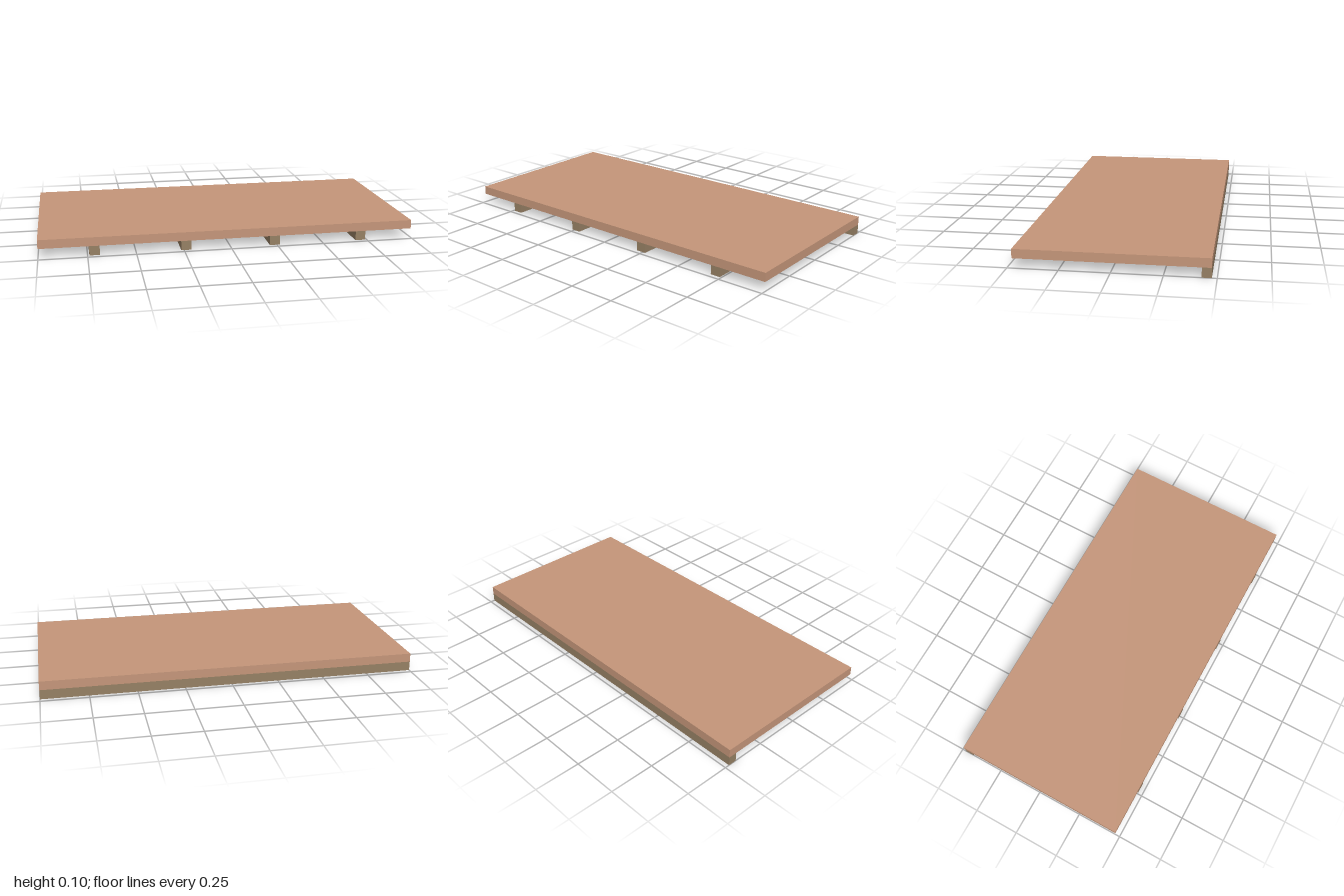
import * as THREE from 'three';

export function createModel() {
  const model = new THREE.Group();
  const deckColor = new THREE.MeshStandardMaterial({ name: 'terracotta deck', color: 0xc5967a });
  const beamColor = new THREE.MeshStandardMaterial({ name: 'olive brown timber', color: 0x968064 });

  // Box given by its minimum and maximum on each axis
  function addBox(name, material, [x0, x1], [y0, y1], [z0, z1]) {
    const mesh = new THREE.Mesh(new THREE.BoxGeometry(x1 - x0, y1 - y0, z1 - z0), material);
    mesh.position.set((x0 + x1) / 2, (y0 + y1) / 2, (z0 + z1) / 2);
    mesh.name = name;
    model.add(mesh);
  }

  const depth = 0.475, deckBottom = 0.05, deckTop = 0.097, beamFront = -0.428;

  // Deck slab
  addBox('deck', deckColor, [-1, 1], [deckBottom, deckTop], [-depth, depth]);

  // Long beam under the back edge
  addBox('backBeam', beamColor, [-1, 1], [0, deckBottom], [-depth, beamFront]);

  // Four joists running from the back beam to the front edge
  const half = 0.027;
  [-0.714, -0.238, 0.238, 0.714].forEach((x, i) =>
    addBox(`joist${i + 1}`, beamColor, [x - half, x + half], [0, deckBottom], [beamFront, depth]));

  return model;
}
